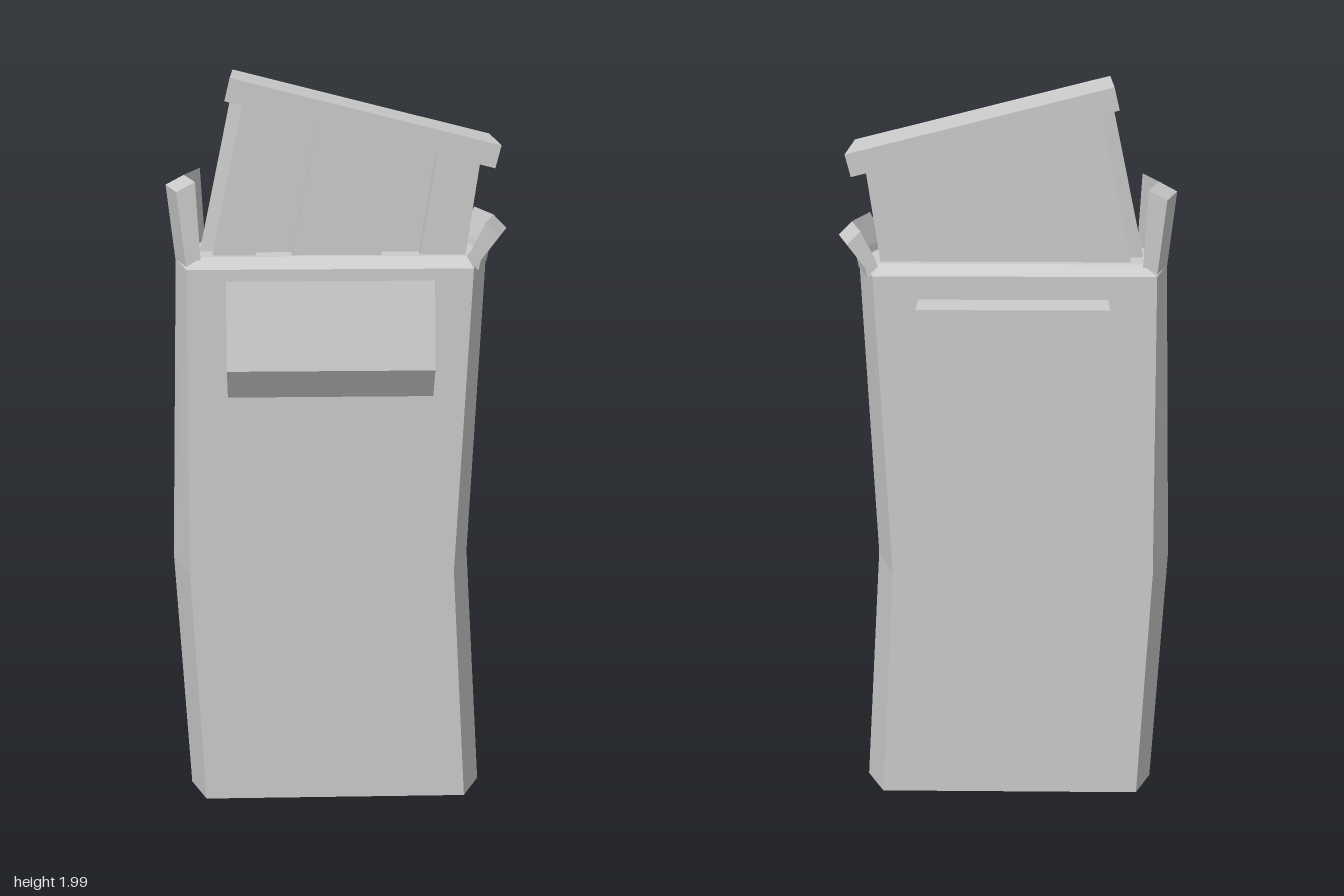
import * as THREE from 'three';

const material = new THREE.MeshStandardMaterial({ color: 0xcccccc, flatShading: true });

// Skin a stack of rings (bottom to top, each counter-clockwise from above).
function loft(rings, capBottom = true, capTop = true) {
  const pos = [];
  const tri = (a, b, c) => pos.push(...a, ...b, ...c);
  const n = rings[0].length;
  for (let r = 0; r < rings.length - 1; r++) {
    const lo = rings[r], up = rings[r + 1];
    for (let i = 0; i < n; i++) {
      const j = (i + 1) % n;
      tri(lo[i], lo[j], up[j]);
      tri(lo[i], up[j], up[i]);
    }
  }
  const cap = (ring, flip) => {
    const outline = ring.map(([x, , z]) => new THREE.Vector2(x, -z));
    for (const [a, b, c] of THREE.ShapeUtils.triangulateShape(outline, [])) {
      if (flip) tri(ring[a], ring[c], ring[b]);
      else tri(ring[a], ring[b], ring[c]);
    }
  };
  if (capBottom) cap(rings[0], true);
  if (capTop) cap(rings[rings.length - 1], false);
  const g = new THREE.BufferGeometry();
  g.setAttribute('position', new THREE.Float32BufferAttribute(pos, 3));
  g.computeVertexNormals();
  return g;
}

const MID = 0.03; // z of the pointed sides

// Six-sided section: flat front and back, pointed left and right.
function hexRing(y, x0, x1, tip0, tip1, front, back, tipY = y) {
  return [
    [x0, y, front], [x1, y, front], [tip1, tipY, MID],
    [x1, y, back], [x0, y, back], [tip0, tipY, MID],
  ];
}

// V-shaped section of a side tab; side is the sign of x it points to.
function tabRing(side, xOut, yOut, xIn, yIn) {
  const vee = (x, y) => [
    [x - side * 0.035, y, 0.165], [x, y, MID], [x - side * 0.035, y, -0.105],
  ];
  const outer = vee(xOut, yOut), inner = vee(xIn, yIn);
  return side > 0 ? [...outer, ...inner.reverse()] : [...inner, ...outer.reverse()];
}

export function createModel() {
  const model = new THREE.Group();
  const add = (name, geometry) => {
    const mesh = new THREE.Mesh(geometry, material);
    mesh.name = name;
    model.add(mesh);
    return mesh;
  };

  // Bent pouch with a keel-shaped bottom and a bevelled rim
  add('pouchBody', loft([
    hexRing(0.005, -0.375, 0.375, -0.385, 0.385, MID, MID, 0.012),
    hexRing(0.067, -0.36, 0.345, -0.408, 0.4, 0.195, -0.13, 0.035),
    hexRing(0.72, -0.39, 0.305, -0.442, 0.355, 0.195, -0.13),
    hexRing(1.53, -0.38, 0.34, -0.416, 0.388, 0.195, -0.13),
    hexRing(1.555, -0.345, 0.325, -0.38, 0.36, 0.155, -0.095),
  ], false, true));

  // Upright tab on one side, outward-bent tab on the other
  add('rightTab', loft([
    tabRing(-1, -0.416, 1.52, -0.38, 1.54),
    tabRing(-1, -0.437, 1.72, -0.39, 1.745),
  ]));
  add('leftTab', loft([
    tabRing(1, 0.39, 1.52, 0.36, 1.54),
    tabRing(1, 0.395, 1.545, 0.37, 1.57),
    tabRing(1, 0.44, 1.605, 0.405, 1.64),
  ]));

  // Wedge-shaped flap on the front
  const wedge = new THREE.Shape([
    new THREE.Vector2(0.18, 1.2), new THREE.Vector2(0.195, 1.2),
    new THREE.Vector2(0.245, 1.28), new THREE.Vector2(0.195, 1.5),
    new THREE.Vector2(0.18, 1.5),
  ]);
  add('frontFlap', new THREE.ExtrudeGeometry(wedge, { depth: 0.525, bevelEnabled: false })
    .rotateY(-Math.PI / 2).translate(0.243, 0, 0));

  // Raised back panel following the bend of the pouch
  const panelRing = (y, x0, x1) =>
    [[x0, y, -0.12], [x1, y, -0.12], [x1, y, -0.243], [x0, y, -0.243]];
  add('backPanel', loft([
    panelRing(0.135, -0.245, 0.227),
    panelRing(0.72, -0.272, 0.2),
    panelRing(1.47, -0.258, 0.225),
  ]));

  // Magazine with a narrow spine and two grooves in the front face
  const section = [
    [-0.267, 0.07], [-0.235, 0.078], [-0.235, 0.135],
    [-0.135, 0.135], [-0.135, 0.09], [-0.05, 0.09], [-0.05, 0.135],
    [0.16, 0.135], [0.16, 0.09], [0.25, 0.09], [0.25, 0.135],
    [0.357, 0.135], [0.357, -0.07], [-0.235, -0.07], [-0.235, -0.013], [-0.267, -0.005],
  ];
  add('magazineBody', loft([
    section.map(([x, z]) => [-0.355 + (x + 0.267) * 1.085, 1.54, z]),
    section.map(([x, z]) => [x, 1.94 - 0.235 * (x + 0.267), z]),
  ]));

  // Tilted plate closing the magazine
  const plate = add('magazineBasePlate', new THREE.BoxGeometry(0.69, 0.058, 0.265));
  plate.position.set(0.063, 1.887, 0.0325);
  plate.rotation.z = -0.243;

  return model;
}
